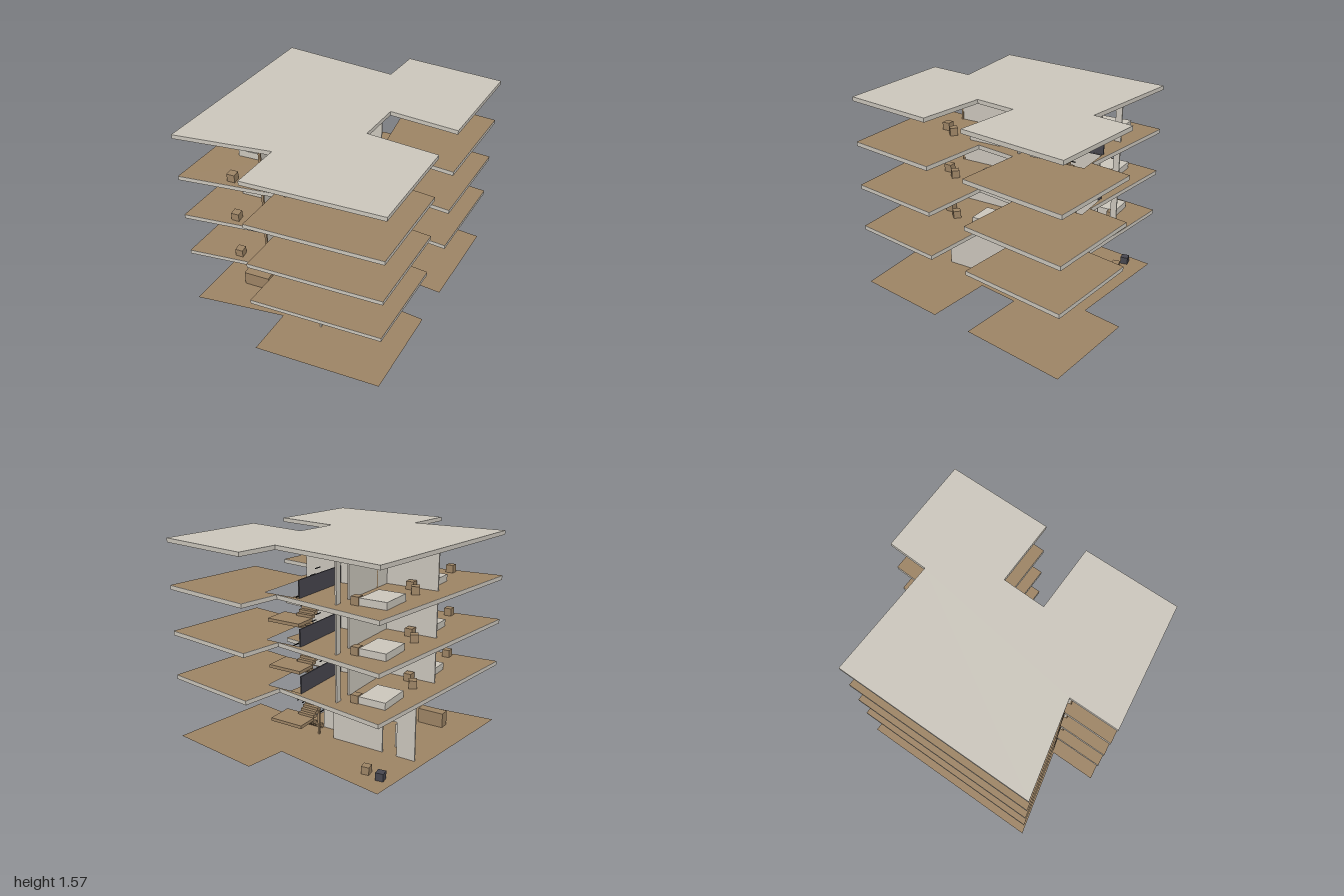
import * as THREE from 'three';

const mat = (name, color, side = THREE.FrontSide) => {
  const m = new THREE.MeshStandardMaterial({ color, side });
  m.name = name;
  return m;
};

export function createModel() {
  const model = new THREE.Group();
  model.name = 'apartmentBuilding';
  const plaster = mat('plaster', 0xcac5bb);
  const wood = mat('wood', 0x9c8364);
  const floorWood = mat('floorWood', 0x9c8364, THREE.DoubleSide);
  const dark = mat('darkMetal', 0x47464e);
  const black = mat('handrailBlack', 0x1c1c1e);

  const group = (name, parent = model) => {
    const g = new THREE.Group();
    g.name = name;
    parent.add(g);
    return g;
  };
  // Box given by its extents on each axis
  const box = (parent, name, m, x0, x1, y0, y1, z0, z1) => {
    const b = new THREE.Mesh(new THREE.BoxGeometry(x1 - x0, y1 - y0, z1 - z0), m);
    b.name = name;
    b.position.set((x0 + x1) / 2, (y0 + y1) / 2, (z0 + z1) / 2);
    parent.add(b);
    return b;
  };

  // Pinwheel floor plan as x, z corners
  const plan = [[-0.76, -0.835], [0.15, -0.69], [0.21, -1], [0.97, -0.895], [0.84, -0.08],
    [0.325, -0.155], [0.265, 0.18], [0.795, 0.255], [0.685, 0.995], [-0.3, 0.995],
    [-0.245, 0.62], [-0.975, 0.685]];
  const outline = (pts) => pts.map(([x, z]) => new THREE.Vector2(x, -z));
  const planShape = (holeFront) => {
    const s = new THREE.Shape(outline(plan));
    if (holeFront !== undefined) {
      s.holes.push(new THREE.Path(outline(
        [[-0.035, -0.685], [0.26, -0.685], [0.26, holeFront], [-0.035, holeFront]])));
    }
    return s;
  };
  const lay = (parent, name, geo, m, y) => {
    const mesh = new THREE.Mesh(geo.rotateX(-Math.PI / 2), m);
    mesh.name = name;
    mesh.position.y = y;
    parent.add(mesh);
  };

  // Ground sheet, floor slabs with stair openings, and roof
  lay(model, 'groundFloor', new THREE.ShapeGeometry(planShape()), floorWood, 0.001);
  const slabs = [[0.48, -0.18], [0.832, -0.25], [1.184, -0.25], [1.535, undefined]];
  slabs.forEach(([y, hole], i) => {
    const roof = i === 3;
    const s = planShape(hole);
    lay(model, roof ? 'roofSlab' : 'floorSlab',
      new THREE.ExtrudeGeometry(s, { depth: 0.032, bevelEnabled: false }), plaster, y);
    if (!roof) lay(model, 'floorCovering', new THREE.ShapeGeometry(s), floorWood, y + 0.034);
  });

  // Wall running along z at x, with doorways [z0, z1]
  const T = 0.006;
  const wallZ = (g, x, z0, z1, y0, y1, head, doors = []) => {
    let z = z0;
    for (const [a, b] of doors) {
      box(g, 'wall', plaster, x - T, x + T, y0, y1, z, a);
      box(g, 'lintel', plaster, x - T, x + T, head, y1, a, b);
      z = b;
    }
    box(g, 'wall', plaster, x - T, x + T, y0, y1, z, z1);
  };
  // Wall running along x at z, with doorways [x0, x1]
  const wallX = (g, z, x0, x1, y0, y1, head, doors = []) => {
    let x = x0;
    for (const [a, b] of doors) {
      box(g, 'wall', plaster, x, a, y0, y1, z - T, z + T);
      box(g, 'lintel', plaster, a, b, head, y1, z - T, z + T);
      x = b;
    }
    box(g, 'wall', plaster, x, x1, y0, y1, z - T, z + T);
  };
  const post = (g, x, z, y0, y1) =>
    box(g, 'doorPost', wood, x - 0.008, x + 0.008, y0, y1, z - 0.008, z + 0.008);
  const stool = (g, x, z, y, turn = 0, m = wood) => {
    const b = box(g, 'stool', m, x - 0.03, x + 0.03, y, y + 0.06, z - 0.03, z + 0.03);
    b.rotation.y = turn;
  };

  // Flight of steps with a stepped handrail; dir is the way it climbs along z
  const flight = (g, x0, x1, zA, zB, yA, yB, n, railX) => {
    const run = (zB - zA) / n;
    const rise = (yB - yA) / n;
    for (let i = 0; i < n; i++) {
      const z = zA + run * (i + 0.5);
      const y = yA + rise * (i + 1);
      box(g, 'step', wood, x0, x1, y - 0.024, y, z - 0.02, z + 0.02);
      if (i % 2 === 0) {
        box(g, 'handrailBar', black, railX - 0.004, railX + 0.004,
          y + 0.118, y + 0.124, z - 0.03, z + 0.03);
      }
    }
  };
  const stairs = (zStart, yStart, yMid, zEnd, yEnd, n) => {
    const g = group('staircase');
    flight(g, 0.12, 0.24, zStart, -0.52, yStart, yMid, n, 0.13);
    box(g, 'landing', wood, -0.03, 0.24, yMid - 0.024, yMid, -0.685, -0.52);
    flight(g, -0.03, 0.105, -0.52, zEnd, yMid, yEnd, n, 0.095);
  };
  stairs(-0.16, 0, 0.255, -0.18, 0.49, 12);

  // Ground level: lobby walls, entrance posts, counter and benches
  const lobby = group('groundLevel');
  wallX(lobby, -0.29, -0.76, -0.055, 0, 0.48, 0.275, [[-0.61, -0.49]]);
  wallX(lobby, -0.163, -0.04, 0.265, 0, 0.48, 0.275, [[0.12, 0.235]]);
  wallZ(lobby, 0.077, -0.15, 0.62, 0, 0.48);
  post(lobby, 0.083, -0.15, 0, 0.48);
  post(lobby, 0.083, -0.29, 0, 0.48);
  box(lobby, 'counter', wood, -0.69, -0.475, 0, 0.12, 0.32, 0.4);
  for (const x of [-0.29, -0.6]) box(lobby, 'bench', plaster, x, x + 0.07, 0, 0.19, -0.17, 0.03);
  stool(lobby, -0.55, -0.625, 0, 0.15);
  stool(lobby, -0.68, -0.65, 0, 0.15, dark);

  // Three identical apartment levels
  [0.514, 0.866, 1.218].forEach((y, i) => {
    const g = group('apartmentLevel');
    const top = y + 0.318;
    const head = y + 0.27;
    wallZ(g, -0.34, -0.69, 0.62, y, top, head, [[-0.64, -0.53], [0.005, 0.13]]);
    wallZ(g, -0.165, 0.025, 0.62, y, top, head, [[0.07, 0.185]]);
    wallX(g, 0.0, -0.76, -0.34, y, top, head);
    wallX(g, -0.163, -0.165, 0.265, y, top, head);
    post(g, -0.338, -0.15, y, top);
    post(g, -0.338, 0.622, y, top);
    post(g, -0.16, 0.022, y, top);
    post(g, -0.16, -0.15, y, top);
    post(g, -0.163, 0.622, y, top);

    // Solid balustrade beside the stairwell
    box(g, 'balustrade', dark, -0.046, -0.036, y - 0.01, y + 0.13, -0.69, -0.165);

    // Beds with side tables
    box(g, 'bed', plaster, -0.69, -0.48, y, y + 0.053, -0.62, -0.36);
    box(g, 'bed', plaster, -0.69, -0.48, y, y + 0.053, 0.03, 0.295);
    box(g, 'bed', plaster, 0, 0.21, y, y + 0.053, 0.03, 0.295);
    stool(g, -0.45, -0.6, y);
    stool(g, -0.45, 0.06, y);
    stool(g, -0.04, 0.05, y);

    // Loose stools
    stool(g, -0.59, 0.58, y);
    stool(g, 0.1, 0.58, y);
    stool(g, 0.18, 0.47, y, Math.PI / 4);
    stool(g, -0.57, -0.05, y);
    stool(g, -0.66, -0.16, y, 0.5);

    if (i < 2) stairs(-0.29, y, y + 0.165, -0.25, y + 0.345, 9);
  });

  return model;
}
